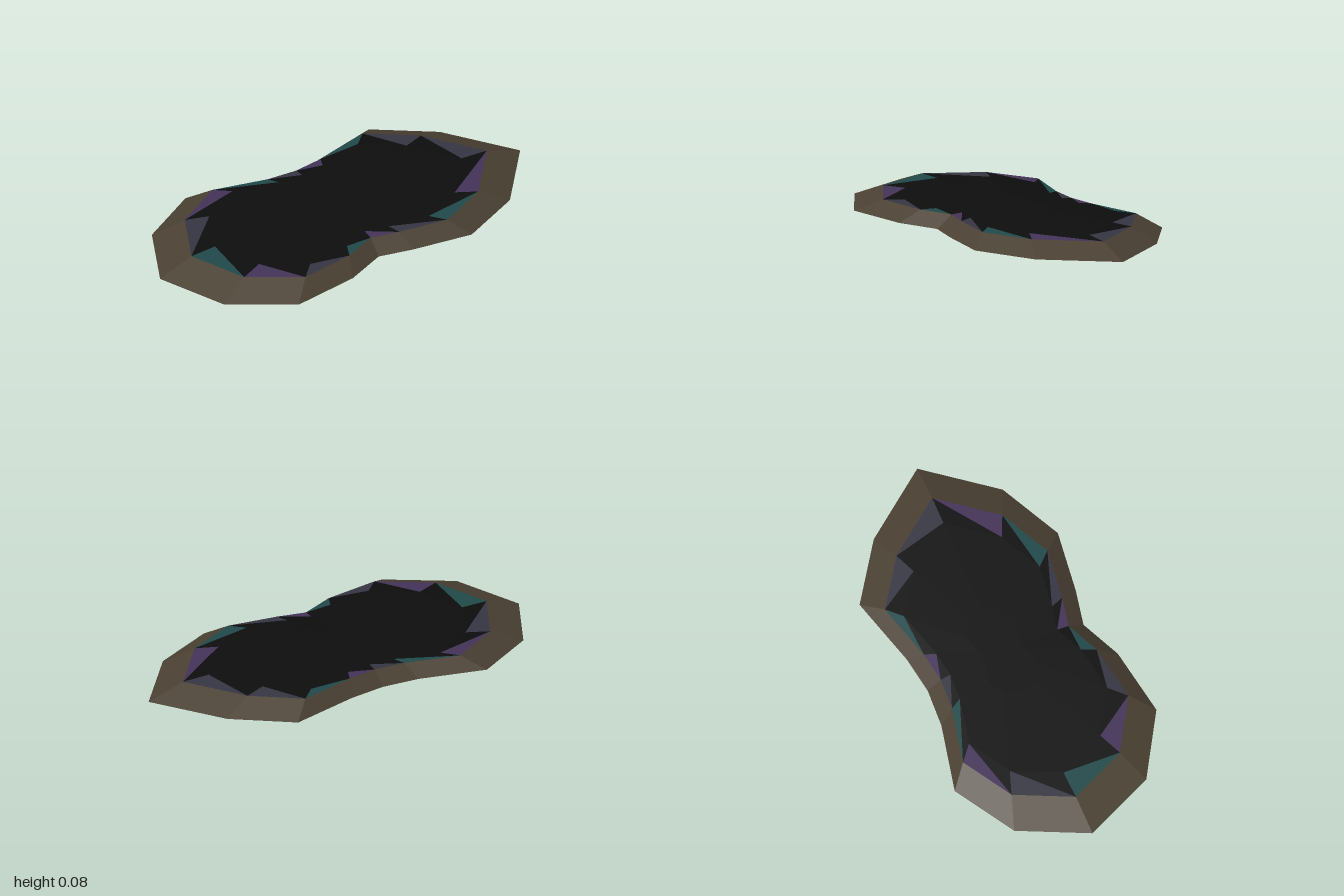
import * as THREE from 'three';

// Shoreline of the puddle, [x, z], clockwise seen from above
const OUTLINE = [
  [0.9, 0.02], [1, 0.45], [0.605, 0.665], [0.24, 0.685],
  [-0.04, 0.52], [-0.195, 0.412], [-0.43, 0.417], [-0.78, 0.33],
  [-1, 0.02], [-1, -0.38], [-0.7, -0.643], [-0.333, -0.693],
  [-0.04, -0.48], [0.14, -0.39], [0.33, -0.34], [0.71, -0.288],
];
const N = OUTLINE.length;

// A ring is the outline scaled towards the centre, at height y
const ring = (scale, y) => OUTLINE.map(([x, z]) => [x * scale, y, z * scale]);

function facetMesh(name, triangles, material) {
  const geometry = new THREE.BufferGeometry();
  geometry.setAttribute('position', new THREE.Float32BufferAttribute(triangles.flat(2), 3));
  geometry.computeVertexNormals();
  const mesh = new THREE.Mesh(geometry, material);
  mesh.name = name;
  return mesh;
}

function material(name, color) {
  const m = new THREE.MeshStandardMaterial({ color, side: THREE.DoubleSide, flatShading: true });
  m.name = name;
  return m;
}

export function createModel() {
  const group = new THREE.Group();
  group.name = 'puddle';

  const shore = ring(1, 0);
  const edge = ring(0.82, 0.067);
  const shallow = ring(0.685, 0.0715);
  const middle = ring(0.24, 0.075);
  const centre = [0, 0.075, 0];

  const rim = [], liquid = [];
  const sheens = [[], [], []];

  for (let i = 0; i < N; i++) {
    const j = (i + 1) % N;
    // sloping muddy rim
    rim.push([shore[i], edge[i], edge[j]], [shore[i], edge[j], shore[j]]);
    // outer band: one half dark, the other half an iridescent sliver
    liquid.push([edge[i], shallow[i], shallow[j]]);
    sheens[i % 3].push([edge[i], shallow[j], edge[j]]);
    // gently domed liquid surface
    liquid.push([shallow[i], middle[i], middle[j]], [shallow[i], middle[j], shallow[j]]);
    liquid.push([middle[i], centre, middle[j]]);
  }

  group.add(
    facetMesh('rim', rim, material('mud brown', 0x4a4033)),
    facetMesh('liquidSurface', liquid, material('oil black', 0x0d0d0d)),
    facetMesh('slateSheen', sheens[0], material('slate sheen', 0x353542)),
    facetMesh('purpleSheen', sheens[1], material('purple sheen', 0x433358)),
    facetMesh('tealSheen', sheens[2], material('teal sheen', 0x204849)),
  );
  return group;
}
